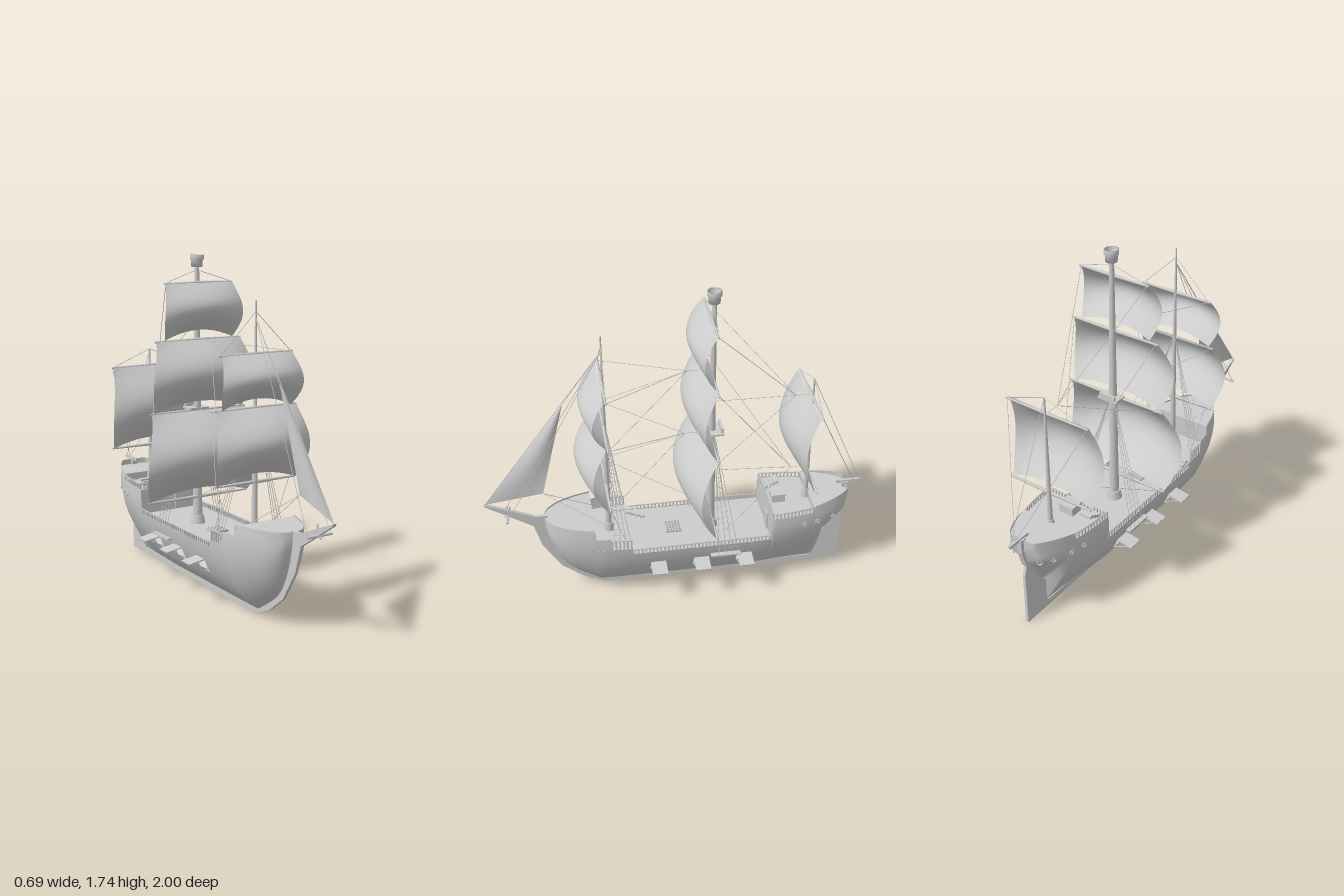
import * as THREE from 'three';
import { mergeGeometries } from 'three/addons/utils/BufferGeometryUtils.js';

const mat = new THREE.MeshStandardMaterial({ color: 0xcccccc, side: THREE.DoubleSide });
const V = (x, y, z) => new THREE.Vector3(x, y, z);
const lerp = THREE.MathUtils.lerp;
const PORTS = [0.123, -0.107, -0.34], PORT_HALF = 0.04;
const SIDES = [-1, 1];

// Hull form: half-width, keel height and top edge along z
function beam(z) {
  const r = z > 0.2 ? (z - 0.2) / 0.5 : z < -0.35 ? (-z - 0.35) / 0.6 : 0;
  return 0.193 * Math.sqrt(Math.max(0, 1 - r ** 2.5));
}
const STERN = [[-0.765, 0.17], [-0.8, 0.2], [-0.86, 0.31], [-0.9, 0.38], [-0.915, 0.45]];
function keelY(z) {
  if (z > 0.42) {
    const r = (z - 0.42) / 0.28;
    return 0.03 + 0.42 * (0.43 * r + 0.57 * r ** 6);
  }
  if (z > -0.765) return 0.03;
  const i = Math.max(1, STERN.findIndex(p => p[0] <= z));
  const [a, b] = [STERN[i - 1], STERN[i]];
  return lerp(a[1], b[1], (z - a[0]) / (b[0] - a[0]));
}
function topY(z) {
  if (z > 0.45) return 0.495;
  if (z > 0.37) return 0.44;
  if (z > 0.26) return 0.37;
  if (z > -0.48) return 0.33;
  if (z > -0.71) return 0.465;
  return lerp(0.5, 0.53, (-z - 0.71) / 0.205);
}
function halfAt(z, y) {
  const k = keelY(z), u = THREE.MathUtils.clamp((y - k) / Math.max(0.42 - k, 0.06), 0, 1);
  const p = 0.7 + 0.5 * THREE.MathUtils.smoothstep(-z, 0.35, 0.9);
  return beam(z) * Math.sin(u ** p * Math.PI / 2) * (1 - 0.5 * Math.max(0, y - 0.42));
}

// Grid surface from a function point(i, j), with optional holes
function grid(n, m, point, skip = () => false) {
  const pos = [], idx = [];
  for (let i = 0; i < n; i++) for (let j = 0; j < m; j++) pos.push(...point(i, j));
  for (let i = 0; i < n - 1; i++) for (let j = 0; j < m - 1; j++) {
    if (skip(i, j)) continue;
    const a = i * m + j, b = a + 1, c = a + m, d = c + 1;
    idx.push(a, b, c, b, d, c);
  }
  const g = new THREE.BufferGeometry();
  g.setAttribute('position', new THREE.Float32BufferAttribute(pos, 3));
  g.setIndex(idx);
  g.computeVertexNormals();
  return g;
}
function hullGeometry() {
  const zs = [-0.765, -0.7645, -0.915, -0.9, -0.88, -0.86, -0.83, -0.8, 0.6995, 0.69, 0.68, 0.665, 0.645];
  for (let z = -0.74; z < 0.63; z += 0.04) zs.push(z);
  for (const s of [0.45, 0.37, 0.26, -0.48, -0.71]) zs.push(s - 0.0005, s + 0.0005);
  for (const p of PORTS) zs.push(p - PORT_HALF, p + PORT_HALF);
  zs.sort((a, b) => b - a);
  const ts = [1, 0.9, 0.8, 0.683, 0.57, 0.467, 0.36, 0.26, 0.17, 0.1, 0.05, 0.02, 0];
  const cols = [...ts.map(t => [1, t]), ...ts.slice(0, -1).reverse().map(t => [-1, t])];
  return grid(zs.length + 1, cols.length, (i, j) => {
    const z = zs[Math.min(i, zs.length - 1)], [s, t] = cols[j];
    const y = lerp(keelY(z), topY(z), t);
    return [i === zs.length ? 0 : s * halfAt(z, y), y, z];   // last row closes the transom
  }, (i, j) => {
    if (i >= zs.length - 1) return false;
    const z = (zs[i] + zs[i + 1]) / 2, t = (cols[j][1] + cols[j + 1][1]) / 2;
    return t > 0.467 && t < 0.683 && PORTS.some(p => Math.abs(z - p) < PORT_HALF);
  });
}

// Round bar between two points
function rod(a, b, r0 = 0.0016, r1 = r0, seg = 4) {
  const d = b.clone().sub(a), len = d.length();
  const g = new THREE.CylinderGeometry(r1, r0, len, seg);
  g.applyQuaternion(new THREE.Quaternion().setFromUnitVectors(V(0, 1, 0), d.normalize()));
  return g.translate(...a.clone().add(b).multiplyScalar(0.5).toArray());
}
const box = (w, h, d, x, y, z) => new THREE.BoxGeometry(w, h, d).translate(x, y, z);
// Flat plate in the centre plane, from [z, y] corners
function plate(pts, thick) {
  const shape = new THREE.Shape(pts.map(p => new THREE.Vector2(...p)));
  return new THREE.ExtrudeGeometry(shape, { depth: thick, bevelEnabled: false }).rotateY(-Math.PI / 2).translate(thick / 2, 0, 0);
}
function deck(z0, z1, y) {
  const n = 24;
  return grid(n + 1, 2, (i, j) => {
    const z = lerp(z0, z1, i / n);
    return [(j ? 1 : -1) * halfAt(z, y), y, z];
  });
}
// Balustrade along both sides
function railing(z0, z1, y, h) {
  const parts = [], n = Math.round((z1 - z0) / 0.02);
  for (const s of SIDES) for (let i = 0; i <= n; i++) {
    const at = k => lerp(z0, z1, k / n), x = k => s * (halfAt(at(k), y) - 0.004);
    parts.push(box(0.007, h, 0.008, x(i), y + h / 2, at(i)));
    if (i < n) parts.push(rod(V(x(i), y + h, at(i)), V(x(i + 1), y + h, at(i + 1)), 0.005));
  }
  return parts;
}
function stairs(x, z, y0, y1, dz) {
  return [0, 1, 2, 3].map(i => box(0.06, 0.012, 0.028, x, lerp(y0, y1, (i + 0.5) / 4), z + dz * i));
}
// Wind-filled square sail: s = {z, top, bot, wTop, wBot, out, depth, edge}
function sail(s) {
  return grid(15, 17, (i, j) => {
    const v = i / 14, u = j / 8 - 1, c = 1 - u * u, belly = Math.sin(Math.PI * v);
    const w = lerp(s.wTop, s.wBot, v) + s.out * Math.sin(Math.PI * v ** 1.2);
    return [u * w, lerp(s.top, s.bot + 0.045 * c, v), s.z + 0.012 + belly * lerp(s.edge, s.depth, c)];
  });
}
// Shrouds with ratlines, from the hull side up to the mast
function shrouds(zMast, yTop, zs, yLow, xLow) {
  const parts = [];
  for (const s of SIDES) {
    const lines = zs.map(z => [V(s * xLow, yLow, z), V(s * 0.012, yTop, zMast)]);
    lines.forEach(l => parts.push(rod(l[0], l[1])));
    const [a, b] = [lines[0], lines[lines.length - 1]];
    for (let t = 0.06; t < 0.6; t += 0.05) parts.push(rod(a[0].clone().lerp(a[1], t), b[0].clone().lerp(b[1], t), 0.001));
  }
  return parts;
}

export function createModel() {
  const ship = new THREE.Group();
  ship.name = 'sailingShip';
  const add = (name, geos) => {
    const list = [].concat(geos).map(g => (g.index ? g.toNonIndexed() : g));
    const m = new THREE.Mesh(list.length > 1 ? mergeGeometries(list) : [].concat(geos)[0], mat);
    m.name = name;
    ship.add(m);
  };

  // Hull, keel, rudder and bowsprit
  add('hull', hullGeometry());
  add('keel', plate([[0.7, 0.5], [0.76, 0.44], [0.72, 0.3], [0.625, 0.145], [0.52, 0.06], [0.41, 0.005], [0.4, 0],
    [-0.79, 0], [-0.79, 0.035], [0.4, 0.04], [0.51, 0.1], [0.61, 0.21], [0.68, 0.34]], 0.016));
  add('rudder', plate([[-0.755, 0], [-0.91, 0], [-0.912, 0.3], [-0.89, 0.38], [-0.84, 0.32], [-0.79, 0.2], [-0.755, 0.17]], 0.016));
  add('sternPost', plate([[-0.86, 0.3], [-0.905, 0.36], [-0.93, 0.45], [-0.935, 0.53], [-0.9, 0.53], [-0.9, 0.42]], 0.03));
  add('bowsprit', plate([[0.68, 0.5], [0.75, 0.5], [1.0, 0.607], [0.995, 0.594], [0.76, 0.44], [0.7, 0.44]], 0.018));
  add('bowspritYard', rod(V(-0.07, 0.525, 0.89), V(0.07, 0.525, 0.89), 0.007, 0.007, 8));
  add('bowspritStrut', rod(V(0, 0.51, 0.9), V(0, 0.575, 0.87), 0.006, 0.006, 8));
  add('sternSpar', box(0.014, 0.016, 0.13, 0, 0.532, -0.935));

  // Decks and the bulkheads between them
  add('decks', [deck(0.45, 0.697, 0.485), deck(0.26, 0.45, 0.365), deck(-0.48, 0.26, 0.325),
    deck(-0.71, -0.48, 0.46), deck(-0.915, -0.71, 0.5)]);
  const wall = (z, y0, y1) => box(2 * halfAt(z, y0) - 0.004, y1 - y0, 0.008, 0, (y0 + y1) / 2, z);
  add('bulkheads', [wall(0.452, 0.365, 0.485), wall(0.262, 0.325, 0.365), wall(-0.484, 0.325, 0.46), wall(-0.713, 0.46, 0.5)]);
  add('railings', [...railing(-0.47, 0.25, 0.33, 0.025), ...railing(0.265, 0.365, 0.37, 0.055), ...railing(-0.705, -0.485, 0.465, 0.028)]);
  const cross = [rod(V(-0.18, 0.49, -0.485), V(0.18, 0.49, -0.485), 0.005)];
  for (let x = -0.18; x < 0.181; x += 0.02) cross.push(box(0.007, 0.028, 0.007, x, 0.477, -0.485));
  add('quarterdeckRail', cross);
  add('stairs', [...stairs(-0.14, 0.17, 0.325, 0.37, 0.026), ...stairs(-0.115, -0.5, 0.46, 0.5, -0.02)]);
  add('cabinDoor', box(0.06, 0.1, 0.012, 0.06, 0.38, -0.479));
  add('deckChest', [box(0.08, 0.045, 0.07, 0, 0.482, -0.545), box(0.09, 0.008, 0.08, 0, 0.508, -0.545)]);

  // Grated cargo hatch
  const hatch = [];
  for (let i = 0; i < 6; i++) {
    const d = -0.04 + i * 0.016;
    hatch.push(box(0.005, 0.012, 0.085, d, 0.334, 0.02), box(0.085, 0.012, 0.005, 0, 0.334, 0.02 + d));
  }
  add('cargoHatch', hatch);

  // Gun port lids, portholes and shroud ledges
  for (const s of SIDES) {
    for (const z of PORTS) {
      const lid = new THREE.BoxGeometry(0.092, 0.006, 0.08).rotateZ(-s * 0.16).translate(s * 0.205, 0.233, z);
      const stays = SIDES.map(e => rod(V(s * 0.145, 0.185, z + e * 0.038), V(s * 0.23, 0.228, z + e * 0.038), 0.003));
      add('gunPortLid', [lid, ...stays]);
    }
    for (const z of [-0.66, -0.735, -0.83, -0.885]) {
      const slope = Math.atan2(halfAt(z + 0.01, 0.4) - halfAt(z - 0.01, 0.4), 0.02);
      add('porthole', new THREE.TorusGeometry(0.011, 0.004, 6, 16).rotateY(s * (Math.PI / 2 + slope)).translate(s * halfAt(z, 0.4), 0.4, z));
    }
    add('shroudLedge', box(0.03, 0.008, 0.16, s * 0.185, 0.265, -0.235));
  }

  // Masts: z, foot, top, radii
  for (const [name, z, y0, y1, r0, r1] of [['foreMast', 0.365, 0.36, 1.54, 0.017, 0.004],
    ['mainMast', -0.18, 0.32, 1.69, 0.026, 0.012], ['mizzenMast', -0.7, 0.46, 1.2, 0.014, 0.005]]) {
    add(name, [rod(V(0, y0, z), V(0, y1, z), r0, r1, 16), rod(V(0, y0, z), V(0, y0 + 0.05, z), r0 * 1.6, r0 * 1.25, 16)]);
  }
  const cup = [[0, 1.675], [0.029, 1.675], [0.031, 1.71], [0.036, 1.712], [0.036, 1.735], [0.03, 1.735], [0.028, 1.685], [0, 1.685]];
  add('crowsNest', new THREE.LatheGeometry(cup.map(p => new THREE.Vector2(...p)), 16).translate(0, 0, -0.18));
  add('mastPlatform', [box(0.11, 0.01, 0.08, 0, 0.945, -0.195), box(0.09, 0.03, 0.012, 0, 0.96, -0.228)]);

  // Square sails and their yards
  const sails = [
    ['foreUpperSail', { z: 0.37, top: 1.29, bot: 1.03, wTop: 0.2, wBot: 0.2, out: 0.03, depth: 0.108, edge: 0.06 }],
    ['foreLowerSail', { z: 0.37, top: 1.03, bot: 0.665, wTop: 0.23, wBot: 0.23, out: 0.036, depth: 0.143, edge: 0.07 }],
    ['mainTopSail', { z: -0.17, top: 1.595, bot: 1.31, wTop: 0.2, wBot: 0.2, out: 0.03, depth: 0.105, edge: 0.06 }],
    ['mainMiddleSail', { z: -0.17, top: 1.305, bot: 0.94, wTop: 0.25, wBot: 0.26, out: 0.045, depth: 0.13, edge: 0.065 }],
    ['mainLowerSail', { z: -0.17, top: 0.935, bot: 0.475, wTop: 0.28, wBot: 0.3, out: 0.053, depth: 0.17, edge: 0.085 }],
    ['mizzenSail', { z: -0.69, top: 1.11, bot: 0.66, wTop: 0.235, wBot: 0.24, out: 0.03, depth: 0.13, edge: 0.065 }]];
  for (const [name, s] of sails) add(name, sail(s));
  const yards = [[0.37, 1.29, 0.21], [0.37, 1.03, 0.235], [0.37, 0.665, 0.235], [-0.165, 1.595, 0.2], [-0.165, 1.305, 0.255],
    [-0.165, 0.937, 0.285], [-0.165, 0.472, 0.302], [-0.69, 1.11, 0.24], [-0.69, 0.66, 0.245]];
  for (const [z, y, w] of yards) add('yard', SIDES.map(s => rod(V(0, y, z), V(s * w, y, z), 0.009, 0.005, 8)));

  // Triangular head sail
  const tack = V(0, 0.605, 0.995), clew = V(0.03, 0.665, 0.695), head = V(0, 1.18, 0.565);
  add('jibSail', grid(11, 9, (i, j) => {
    const a = i / 10, b = j / 8, p = head.clone().lerp(tack.clone().lerp(clew, b), a);
    p.x += 0.02 * Math.sin(Math.PI * b) * Math.sin(Math.PI * a);
    return p.toArray();
  }));

  // Rigging
  const ropes = [rod(head, V(0, 1.46, 0.365)), rod(tack, V(0, 1.46, 0.365)), rod(V(0, 1.2, -0.7), V(0, 0.535, -0.995))];
  // Braces: yard index, gathering point and its mast end
  const braces = [[0, 1.31, -0.05, -0.17], [1, 1.31, -0.05, -0.17], [1, 0.94, -0.04, -0.17], [2, 0.94, -0.04, -0.17], [2, 0.475, -0.16, -0.17],
    [3, 1.11, -0.61, -0.7], [5, 1.11, -0.61, -0.7], [4, 0.66, -0.61, -0.7], [6, 0.66, -0.61, -0.7]];
  for (const [i, y, z, zEnd] of braces) {
    const [yz, yy, w] = yards[i];
    for (const s of SIDES) ropes.push(rod(V(s * w * 0.95, yy, yz), V(0, y, z)));
    ropes.push(rod(V(0, y, z), V(0, y, zEnd)));
  }
  for (const s of SIDES) {
    ropes.push(rod(V(0, 1.49, 0.365), V(s * 0.2, 1.29, 0.37)), rod(V(0, 1.66, -0.18), V(s * 0.2, 1.595, -0.165)),
      rod(V(0, 1.2, -0.7), V(s * 0.235, 1.11, -0.69)), rod(V(s * 0.235, 1.11, -0.69), V(0, 0.535, -0.96)),
      rod(V(0, 1.46, 0.365), V(s * 0.065, 0.525, 0.89)), rod(clew, V(s * 0.08, 0.44, 0.37)),
      rod(V(s * 0.2, 0.665, 0.37), V(s * 0.17, 0.43, 0.3)));
  }
  add('rigging', ropes);
  add('mainShrouds', shrouds(-0.19, 0.94, [-0.2, -0.235, -0.27, -0.305], 0.265, 0.195));
  add('foreShrouds', shrouds(0.36, 1.02, [0.35, 0.32, 0.29, 0.265], 0.38, 0.185));
  return ship;
}
